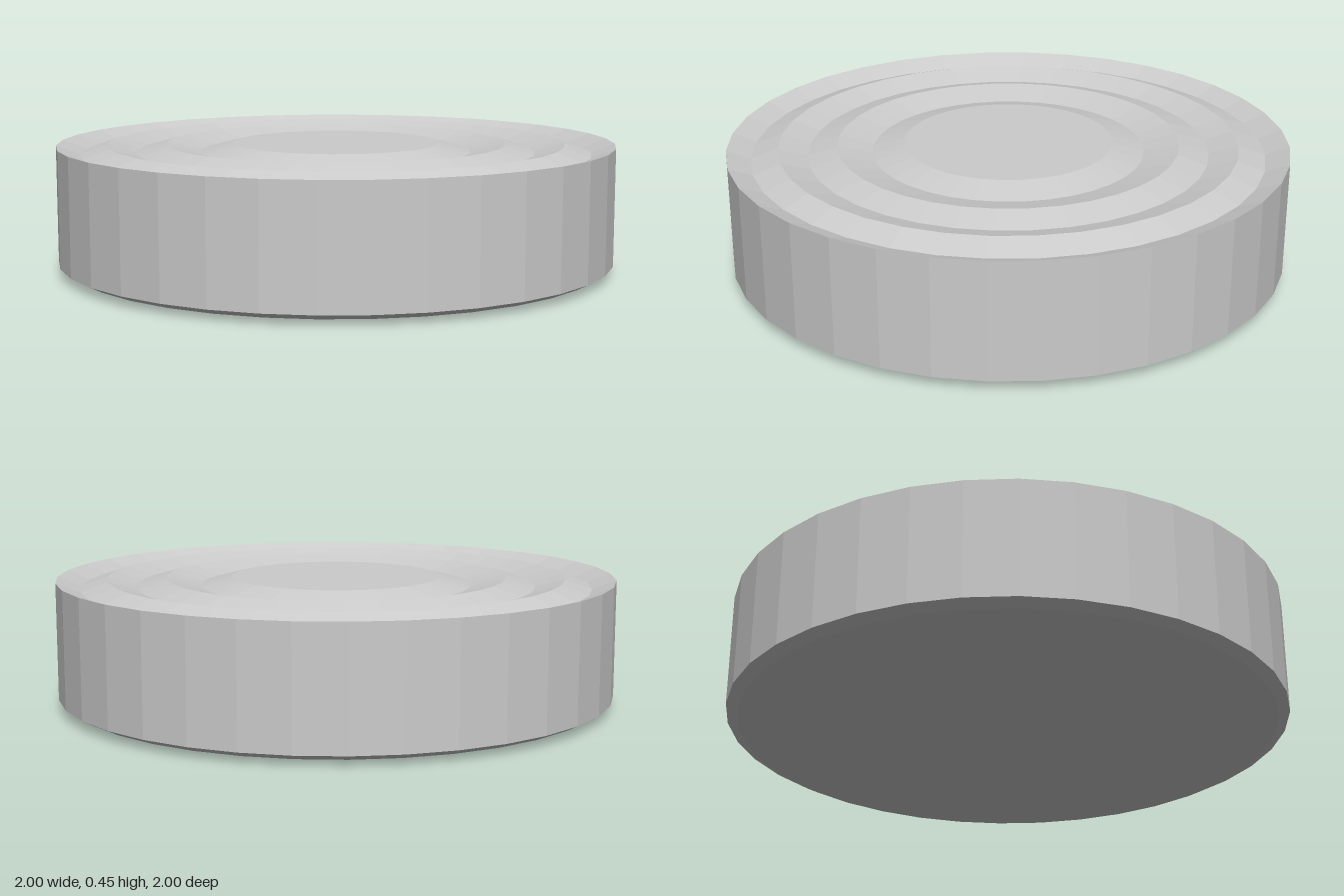
import * as THREE from 'three';

const SIDES = 36;

export function createModel() {
  const model = new THREE.Group();
  model.name = 'roundTin';
  const material = new THREE.MeshStandardMaterial({ color: 0xcccccc, flatShading: true });

  // Turns a profile of [radius, height] points around the y axis
  const turned = (name, profile) => {
    const points = profile.map(([r, y]) => new THREE.Vector2(r, y));
    const mesh = new THREE.Mesh(new THREE.LatheGeometry(points, SIDES), material);
    mesh.name = name;
    model.add(mesh);
  };

  // Base, bevelled bottom edge, straight wall and rim sloping inward
  turned('body', [[0, 0], [0.83, 0.004], [0.96, 0.014], [1, 0.035], [1, 0.45], [0.915, 0.417]]);

  // Lid with concentric ridges and grooves around a flat centre
  turned('ridgedLid', [
    [0.915, 0.417], [0.82, 0.45], [0.715, 0.42], [0.61, 0.45],
    [0.485, 0.42], [0.372, 0.45], [0, 0.45],
  ]);

  return model;
}
